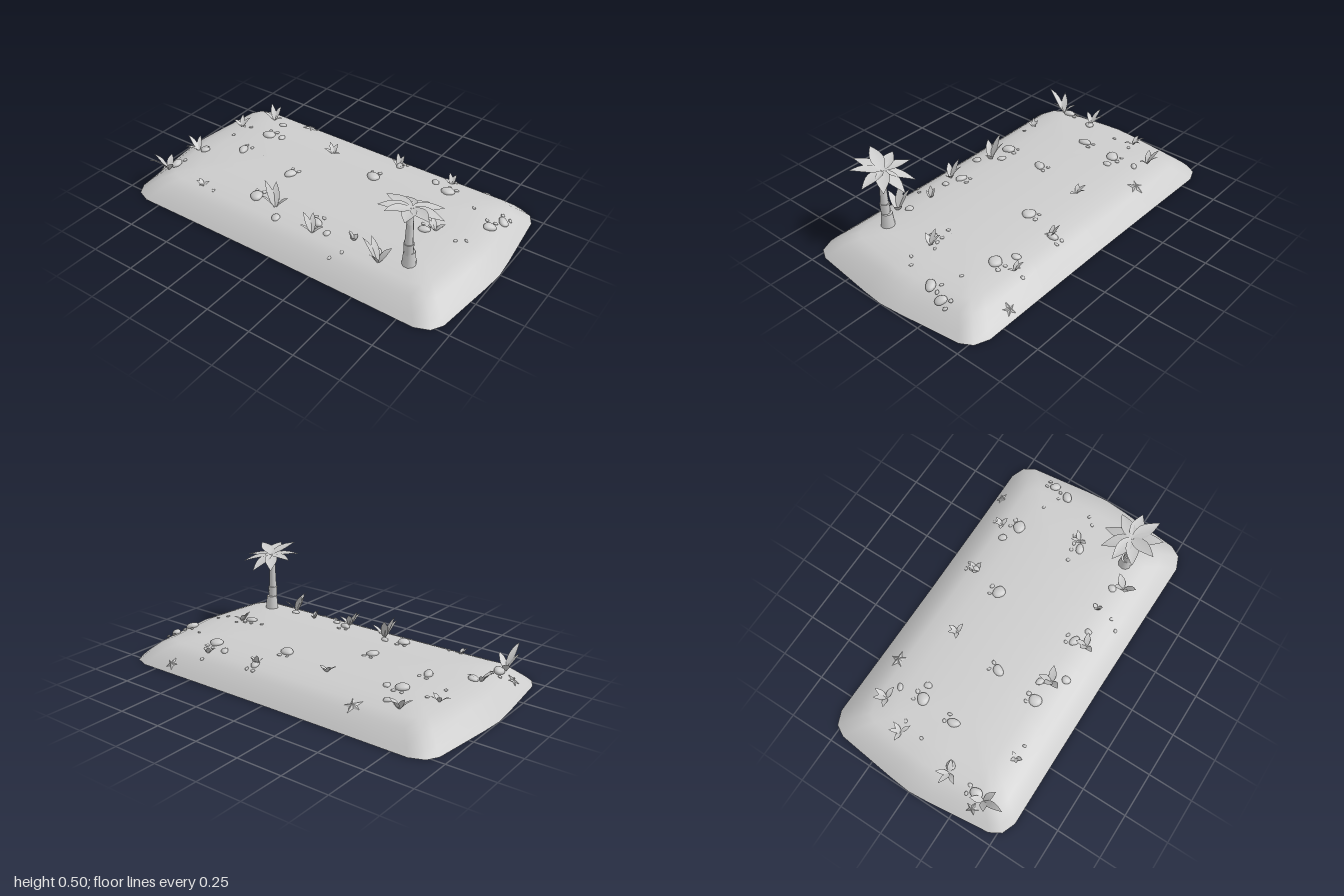
import * as THREE from 'three';
import { mergeVertices } from 'three/addons/utils/BufferGeometryUtils.js';

const grey = new THREE.MeshStandardMaterial({ color: 0xcccccc });
const thin = new THREE.MeshStandardMaterial({ color: 0xcccccc, side: THREE.DoubleSide });
const faceted = new THREE.MeshStandardMaterial({ color: 0xcccccc, flatShading: true });
const V = (x, y, z) => new THREE.Vector3(x, y, z);
const UP = V(0, 1, 0);

// Mound section: distance inward from the shoreline, height
const PROFILE = [[0, 0], [0.03, 0.03], [0.09, 0.08], [0.15, 0.105], [0.25, 0.122], [0.4, 0.128], [0.55, 0.132]];

function groundY(x, z) {
  const d = Math.max(0, Math.min(0.55 - Math.abs(x), 1 - Math.abs(z) - 0.24 * x * x));
  const i = Math.max(1, PROFILE.findIndex(([edge]) => d <= edge));
  const [d0, y0] = PROFILE[i - 1], [d1, y1] = PROFILE[i];
  return y0 + (y1 - y0) * (d - d0) / (d1 - d0);
}

function groundNormal(x, z) {
  const e = 0.02;
  return V(groundY(x - e, z) - groundY(x + e, z), 2 * e, groundY(x, z - e) - groundY(x, z + e)).normalize();
}

function named(geometry, material, name) {
  const mesh = new THREE.Mesh(geometry, material);
  mesh.name = name;
  return mesh;
}

function indexed(points, index) {
  const g = new THREE.BufferGeometry().setFromPoints(points);
  g.setIndex(index);
  return g;
}

// Open-bottomed mound: inset rings of a rounded rectangular shoreline
function mound() {
  const quarter = [[0, 1], [0.12, 0.99], [0.46, 0.95], [0.52, 0.915], [0.55, 0.84], [0.547, 0.45]];
  const right = [...quarter, [0.545, 0], ...quarter.slice().reverse().map(([x, z]) => [x, -z])];
  const loop = [...right, ...right.slice(1, -1).reverse().map(([x, z]) => [-x, z])];
  const n = loop.length, points = [], index = [];
  PROFILE.forEach(([d, y], r) => loop.forEach(([x, z], i) => {
    points.push(V(x * (0.55 - d) / 0.55, y, z * (1 - d)));
    if (r === 0) return;
    const a = (r - 1) * n + i, b = (r - 1) * n + (i + 1) % n;
    index.push(a, b, b + n, a, b + n, a + n);
  }));
  const g = mergeVertices(indexed(points, index), 1e-4);
  g.computeVertexNormals();
  return named(g, thin, 'sandMound');
}

// Pointed leaf folded along its midrib, arching through a raised middle
function leaf(base, tip, width, arch, name) {
  const mid = base.clone().lerp(tip, 0.45).addScaledVector(UP, arch);
  const curve = new THREE.QuadraticBezierCurve3(base, mid, tip);
  const side = tip.clone().sub(base).cross(UP).normalize();
  const points = [], index = [], rows = 7;
  for (let i = 0; i <= rows; i++) {
    const t = i / rows, c = curve.getPoint(t);
    const w = width * (0.12 * (1 - t) + 0.5 * Math.sin(Math.PI * Math.pow(t, 0.85)));
    for (const s of [-1, 0, 1]) {
      points.push(c.clone().addScaledVector(side, s * w).addScaledVector(UP, s ? 0 : -w * 0.25));
    }
    if (i) for (const k of [0, 1]) {
      const a = (i - 1) * 3 + k;
      index.push(a, a + 1, a + 4, a, a + 4, a + 3);
    }
  }
  const g = indexed(points, index);
  g.computeVertexNormals();
  return named(g, thin, name);
}

function palmTree() {
  const tree = new THREE.Group();
  tree.name = 'palmTree';
  // Stacked bark segments: bottom x, y, radius, top x, y, radius
  const segments = [
    [-0.300, 0.100, 0.038, -0.302, 0.195, 0.029], [-0.309, 0.185, 0.023, -0.312, 0.250, 0.026],
    [-0.313, 0.245, 0.021, -0.312, 0.375, 0.017], [-0.314, 0.365, 0.018, -0.303, 0.450, 0.009],
  ];
  for (const [x0, y0, r0, x1, y1, r1] of segments) {
    const axis = V(x1 - x0, y1 - y0, 0);
    const m = named(new THREE.CylinderGeometry(r1, r0, axis.length(), 10), grey, 'trunkSegment');
    m.position.set((x0 + x1) / 2, (y0 + y1) / 2, 0.66);
    m.quaternion.setFromUnitVectors(UP, axis.normalize());
    tree.add(m);
  }
  // Ring of fronds, tilted down toward +x
  const crown = V(-0.304, 0.448, 0.66);
  for (let i = 0; i < 9; i++) {
    const a = 0.02 + i * Math.PI * 2 / 9;
    const dx = 0.16 * Math.cos(a), dz = 0.16 * Math.sin(a);
    const tip = crown.clone().add(V(dx, -0.3 * dx + (i % 2 ? 0.005 : -0.015), dz));
    tree.add(leaf(crown.clone(), tip, 0.062, 0.02, 'frond'));
  }
  return tree;
}

// Rounded stone, slightly lumpy and flattened, sunk into the sand
function stone(x, z, r, i, name) {
  let g = new THREE.IcosahedronGeometry(1, r > 0.018 ? 2 : 1);
  g.deleteAttribute('uv');
  g.deleteAttribute('normal');
  g = mergeVertices(g, 1e-4);
  const p = g.attributes.position, v = V(0, 0, 0);
  for (let k = 0; k < p.count; k++) {
    v.fromBufferAttribute(p, k);
    v.multiplyScalar(1 + 0.09 * Math.sin(3 * v.x + i) * Math.cos(2.5 * v.z + 2 * i));
    p.setXYZ(k, v.x, v.y, v.z);
  }
  g.computeVertexNormals();
  const m = named(g, grey, name);
  m.scale.set(r, r * 0.5, r * (0.8 + 0.15 * Math.sin(i * 2.3)));
  m.position.set(x, groundY(x, z) + r * 0.12, z);
  m.quaternion.setFromUnitVectors(UP, groundNormal(x, z));
  m.rotateY(i * 1.7);
  return m;
}

// Ten-sided cone with every other corner pulled in
function starfish(x, z, r, turn) {
  const g = new THREE.ConeGeometry(r, r * 0.28, 10, 1);
  const p = g.attributes.position;
  for (let k = 0; k < p.count; k++) {
    const corner = Math.round(Math.atan2(p.getX(k), p.getZ(k)) / (Math.PI / 5));
    if (corner % 2) p.setXYZ(k, p.getX(k) * 0.42, p.getY(k), p.getZ(k) * 0.42);
  }
  const m = named(g, faceted, 'starfish');
  const n = groundNormal(x, z);
  m.position.set(x, groundY(x, z), z).addScaledVector(n, r * 0.12);
  m.quaternion.setFromUnitVectors(UP, n);
  m.rotateY(turn);
  return m;
}

// Fan of blades: the main one reaches (dx, h, dz), the rest turn round it and shorten
function grass(x, z, h, dx, dz) {
  const clump = new THREE.Group();
  clump.name = 'grassClump';
  const base = V(x, groundY(x, z) - 0.005, z);
  const reach = Math.hypot(dx, dz), heading = Math.atan2(dz, dx);
  for (let k = 0; k < 4; k++) {
    const a = heading + [0, 0.9, -1.1, 2.6][k];
    const out = k ? Math.min(reach, 0.07) : reach;
    const tip = V(out * Math.cos(a), h * (1 - 0.17 * k), out * Math.sin(a)).add(base);
    clump.add(leaf(base.clone(), tip, 0.012 + 0.17 * h, out * 0.35, 'blade'));
  }
  return clump;
}

export function createModel() {
  const model = new THREE.Group();
  model.name = 'sandIsland';
  model.add(mound(), palmTree());

  // Rocks: x, z, radius
  const rocks = [[-0.31, -0.83, 0.035], [-0.125, -0.785, 0.026], [-0.015, -0.595, 0.034], [0.19, -0.575, 0.036],
    [0.21, -0.5, 0.022], [0.33, -0.585, 0.023], [-0.305, -0.265, 0.035], [-0.055, -0.235, 0.034],
    [-0.27, -0.165, 0.023], [-0.38, -0.08, 0.024], [-0.305, 0.125, 0.032], [-0.34, 0.21, 0.021],
    [0.185, 0.14, 0.036], [0.38, 0.19, 0.031], [0.305, 0.53, 0.035], [0.35, 0.43, 0.024],
    [-0.05, 0.595, 0.031], [-0.32, 0.495, 0.023], [0.18, 0.84, 0.035], [0.275, 0.87, 0.032]];
  rocks.forEach(([x, z, r], i) => {
    model.add(stone(x, z, r, i, 'rock'));
    // A pebble or two beside each larger rock
    for (let k = 0; k < (r > 0.03 ? 2 : 0); k++) {
      const a = 0.35 - 0.9 * k + 0.25 * Math.sin(i), d = r + 0.016;
      model.add(stone(x + d * Math.cos(a), z + d * Math.sin(a), 0.013 - 0.002 * k, i + k, 'pebble'));
    }
  });
  // Loose pebbles
  const loose = [[0.08, -0.75], [0.2, -0.72], [-0.385, -0.495], [-0.455, 0.305], [-0.405, 0.345], [0.02, 0.65],
    [-0.03, 0.505], [-0.03, 0.76], [0.01, 0.8], [0.45, 0.5], [0.255, 0.71]];
  loose.forEach(([x, z], i) => model.add(stone(x, z, 0.011, i, 'pebble')));

  model.add(starfish(0.43, -0.46, 0.05, 0.3), starfish(0.51, 0.665, 0.038, 0.8), starfish(-0.33, -0.9, 0.038, 0));

  // Grass: x, z, height, main blade offset in x and z
  const clumps = [
    [-0.36, -0.84, 0.12, -0.12, -0.01], [-0.14, -0.82, 0.07, 0.01, -0.08], [0.19, -0.78, 0.05, 0.05, -0.03],
    [0.36, -0.67, 0.08, 0.04, -0.05], [-0.38, -0.57, 0.04, -0.02, -0.03], [-0.32, -0.13, 0.14, 0.01, -0.07],
    [0.25, -0.17, 0.05, 0.03, -0.04], [-0.37, 0.14, 0.1, 0.01, -0.06], [-0.31, 0.35, 0.06, -0.02, -0.02],
    [-0.37, 0.53, 0.14, -0.03, -0.07], [-0.02, 0.64, 0.07, -0.01, -0.05], [0.4, 0.5, 0.05, 0.03, -0.03],
    [0.37, 0.19, 0.07, 0.03, -0.03]];
  clumps.forEach(c => model.add(grass(...c)));
  return model;
}
